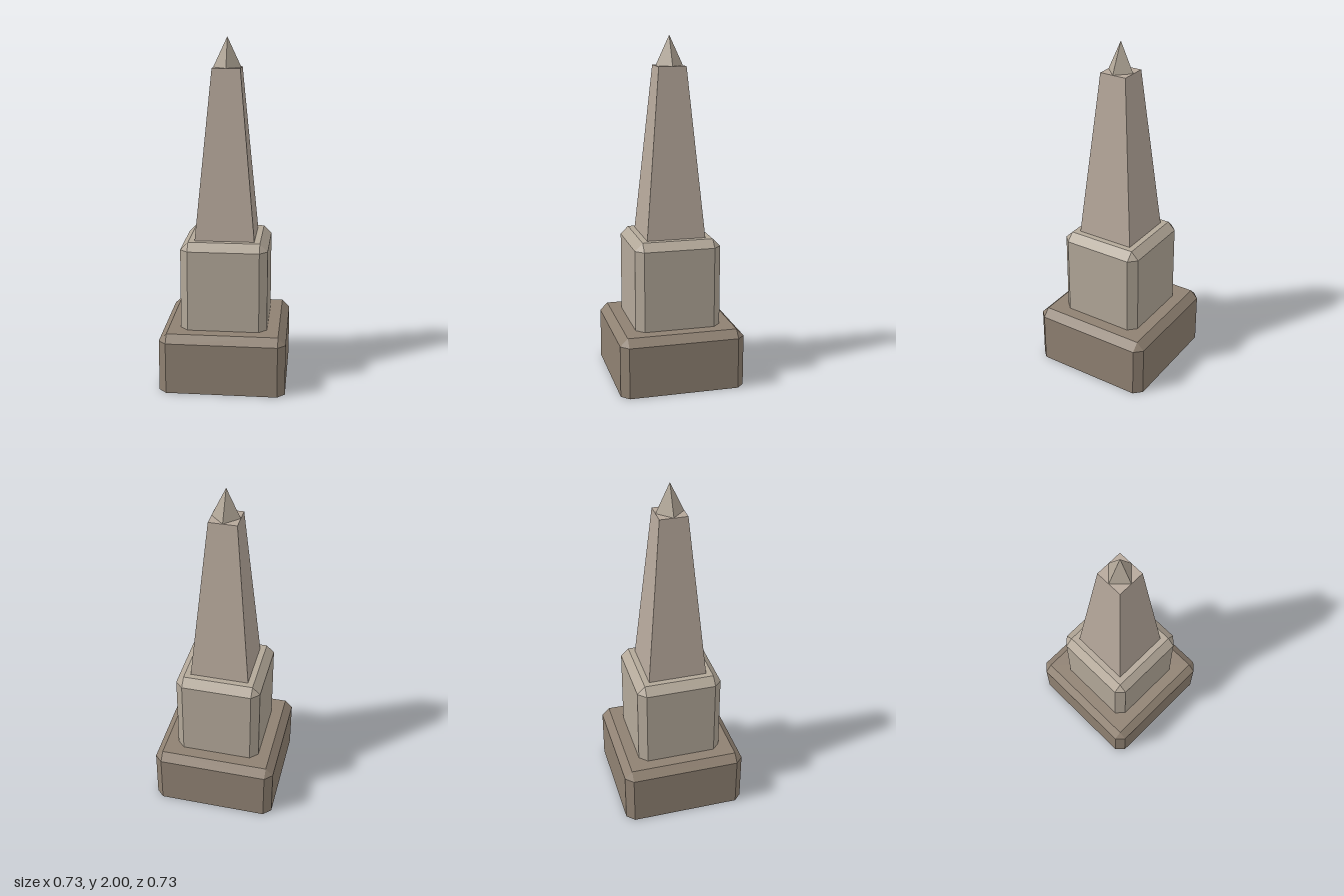
import * as THREE from 'three';
import { ConvexGeometry } from 'three/addons/geometries/ConvexGeometry.js';

const material = (name, color) => {
  const m = new THREE.MeshStandardMaterial({ color, flatShading: true });
  m.name = name;
  return m;
};

// Square block with bevelled upright corners and a bevelled top rim
function bevelledBlock(half, bottom, top, bevel) {
  const inner = half - bevel;
  const points = [];
  for (const sx of [-1, 1]) {
    for (const sz of [-1, 1]) {
      points.push(new THREE.Vector3(sx * inner, top, sz * inner));
      for (const y of [bottom, top - bevel]) {
        points.push(new THREE.Vector3(sx * half, y, sz * inner));
        points.push(new THREE.Vector3(sx * inner, y, sz * half));
      }
    }
  }
  return new ConvexGeometry(points);
}

// Four-sided taper; radii are measured to the corners
function taper(topRadius, bottomRadius, bottom, top) {
  const g = new THREE.CylinderGeometry(topRadius, bottomRadius, top - bottom, 4);
  return g.translate(0, (bottom + top) / 2, 0);
}

export function createModel() {
  const group = new THREE.Group();
  group.name = 'obelisk';
  const darkStone = material('dark stone', 0x8f8172);
  const paleStone = material('pale stone', 0xb3a899);
  const warmStone = material('warm stone', 0xb6a89b);

  const add = (name, geometry, mat) => {
    const mesh = new THREE.Mesh(geometry, mat);
    mesh.name = name;
    group.add(mesh);
  };

  // Stepped foot
  add('base', bevelledBlock(0.363, 0, 0.345, 0.044), darkStone);
  add('pedestal', bevelledBlock(0.25, 0.345, 0.86, 0.045), paleStone);

  // Tapering shaft, faces square to the axes
  const shaft = taper(0.08 * Math.SQRT2, 0.171 * Math.SQRT2, 0.86, 1.83);
  add('shaft', shaft.rotateY(Math.PI / 4), warmStone);

  // Pointed cap, turned so its corners face the axes
  add('cap', taper(0, 0.08, 1.83, 2), paleStone);
  return group;
}
